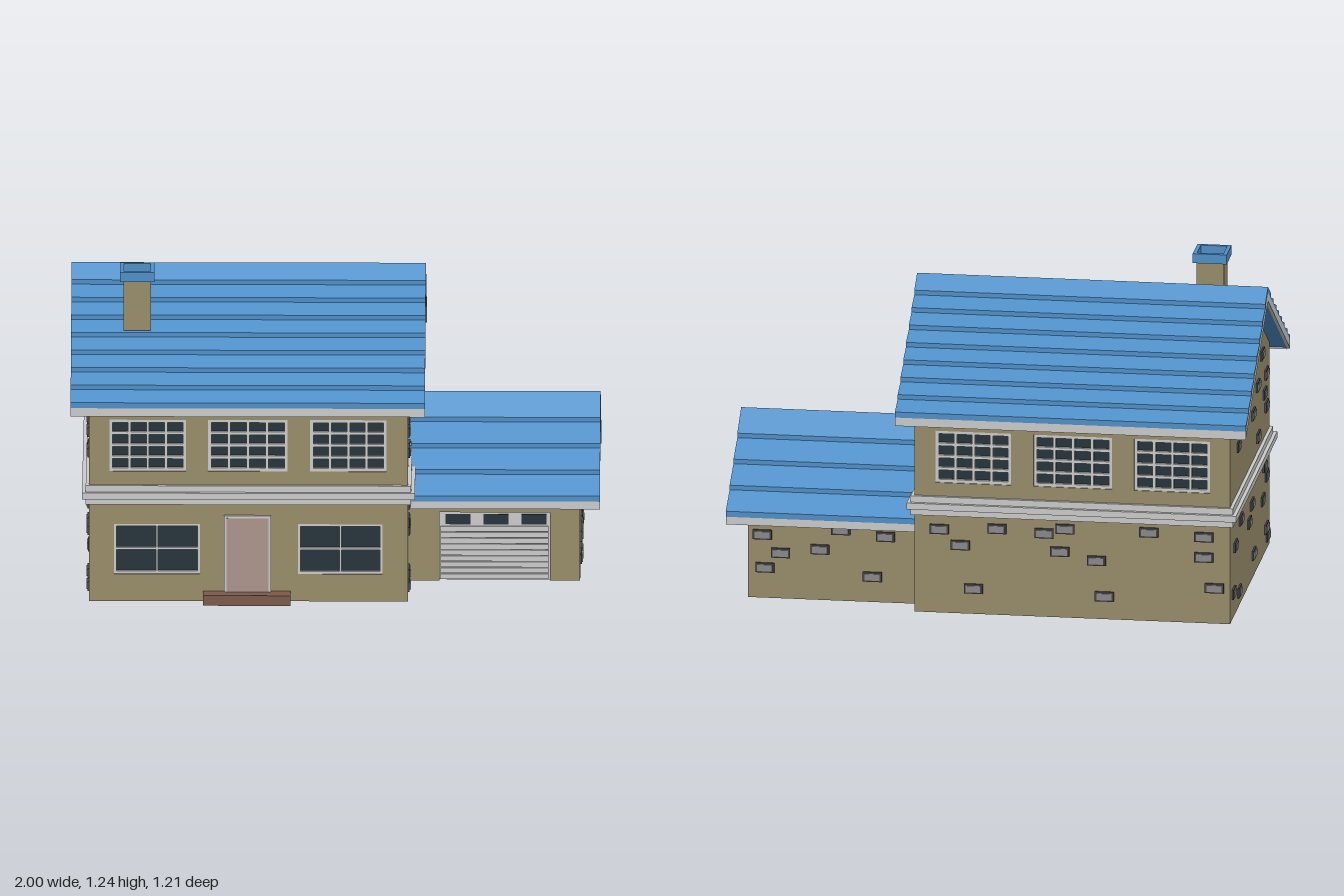
import * as THREE from 'three';

const mat = (color, side = THREE.FrontSide) => new THREE.MeshStandardMaterial({ color, side, flatShading: true });
const M = {
  wall: mat(0x988c69), wallThin: mat(0x988c69, THREE.DoubleSide), roof: mat(0x4f90c8), trim: mat(0xcccccc),
  glass: mat(0x25333a), stone: mat(0x8a8a8c), mortar: mat(0x444446), door: mat(0xab968c), step: mat(0x7b5a4c),
};

function add(parent, name, geo, material, x = 0, y = 0, z = 0) {
  const m = new THREE.Mesh(geo, material);
  m.name = name;
  m.position.set(x, y, z);
  parent.add(m);
  return m;
}

// Box given by its minimum and maximum corners
function block(parent, name, material, x0, x1, y0, y1, z0, z1) {
  return add(parent, name, new THREE.BoxGeometry(x1 - x0, y1 - y0, z1 - z0), material,
    (x0 + x1) / 2, (y0 + y1) / 2, (z0 + z1) / 2);
}

const poly = (pts) => new THREE.Shape(pts.map(([x, y]) => new THREE.Vector2(x, y)));
const rect = (x0, x1, y0, y1) => [[x0, y0], [x1, y0], [x1, y1], [x0, y1]];
const extrude = (shape, depth) => new THREE.ExtrudeGeometry(shape, { depth, bevelEnabled: false });

function holed(outline, holes) {
  const s = poly(outline);
  for (const h of holes) s.holes.push(poly(rect(...h)));
  return s;
}

// Extrude a (distance from ridge, y) profile along x
function alongX(parent, name, shape, material, x0, x1, zc) {
  return add(parent, name, extrude(shape, x1 - x0).rotateY(Math.PI / 2), material, x0, 0, zc);
}

// Pitched roof: core, pale rake and eave boards, overlapping shingle rows
function roof(parent, name, { x0, x1, zc, peak, slope, D, thick, rows }) {
  const g = new THREE.Group();
  g.name = name;
  parent.add(g);
  const low = (d) => peak - slope * Math.abs(d);
  const chevron = (w) => poly([[-w, low(w)], [0, peak], [w, low(w)], [w, low(w) + thick], [0, peak + thick], [-w, low(w) + thick]]);
  alongX(g, 'roofCore', chevron(D - 0.01), M.roof, x0 + 0.012, x1 - 0.012, zc);
  alongX(g, 'rakeBoard', chevron(D), M.trim, x0, x0 + 0.012, zc);
  alongX(g, 'rakeBoard', chevron(D), M.trim, x1 - 0.012, x1, zc);
  for (const s of [-1, 1]) {
    block(g, 'eaveBoard', M.trim, x0 + 0.012, x1 - 0.012, low(D), low(D) + thick, zc + s * (D - 0.006) - 0.006, zc + s * (D - 0.006) + 0.006);
  }
  const side = [];
  for (let i = 0; i < rows; i++) {
    const a = (i * D) / rows, b = ((i + 1) * D) / rows;
    side.push([a, low(a) + thick + (i ? 0.004 : 0.022)], [b, low(b) + thick + 0.022]);
  }
  const left = side.slice(1).reverse().map(([d, y]) => [-d, y]);
  const base = [[D, low(D) + thick], [0, peak + thick], [-D, low(D) + thick]];
  alongX(g, 'shingles', poly([...left, ...side, ...base]), M.roof, x0, x1, zc);
}

// Gabled outline in (distance from ridge, y)
const gable = (half, peak, slope) => [[-half, 0], [half, 0], [half, peak - slope * half], [0, peak], [-half, peak - slope * half]];

// Recessed window whose glazing bars are one pierced sheet
function windowUnit(parent, [x0, x1, y0, y1], z, facing, cols, rows, edge, bar) {
  const g = new THREE.Group();
  g.name = 'window';
  const w = x1 - x0, h = y1 - y0, holes = [];
  const pw = (w - 2 * edge - (cols - 1) * bar) / cols, ph = (h - 2 * edge - (rows - 1) * bar) / rows;
  for (let i = 0; i < cols; i++) for (let j = 0; j < rows; j++) {
    const px = -w / 2 + edge + i * (pw + bar), py = -h / 2 + edge + j * (ph + bar);
    holes.push([px, px + pw, py, py + ph]);
  }
  add(g, 'windowFrame', extrude(holed(rect(-w / 2, w / 2, -h / 2, h / 2), holes), 0.016), M.trim, 0, 0, -0.02);
  add(g, 'windowGlass', new THREE.PlaneGeometry(w, h), M.glass, 0, 0, -0.016);
  g.position.set((x0 + x1) / 2, (y0 + y1) / 2, z);
  if (facing < 0) g.rotation.y = Math.PI;
  parent.add(g);
}

function stone(parent, x, y, z, turn) {
  const g = new THREE.Group();
  g.name = 'wallStone';
  add(g, 'stoneEdge', new THREE.BoxGeometry(0.072, 0.038, 0.014), M.mortar);
  add(g, 'stoneFace', new THREE.BoxGeometry(0.058, 0.026, 0.022), M.stone);
  g.position.set(x, y, z);
  g.rotation.y = turn;
  parent.add(g);
}

export function createModel() {
  const model = new THREE.Group();
  model.name = 'house';

  // Main house walls
  const L = -0.93, R = 0.275, Z = 0.535, T = 0.035;
  const upper = [[-0.853, -0.564, 0.513, 0.717], [-0.48, -0.18, 0.513, 0.717], [-0.094, 0.195, 0.513, 0.717]];
  const lower = [[-0.837, -0.51, 0.107, 0.305], [-0.14, 0.18, 0.107, 0.305]];
  const end = gable(Z, 1.121, 0.61);
  alongX(model, 'houseCore', poly(gable(Z - T, 1.121, 0.61)), M.wall, L + 0.03, R - 0.03, 0);
  alongX(model, 'gableWall', poly(end), M.wall, L, L + 0.03, 0);
  alongX(model, 'gableWall', poly(end), M.wall, R - 0.03, R, 0);
  const face = rect(L + 0.03, R - 0.03, 0, 0.794);
  add(model, 'frontWall', extrude(holed(face, [...upper, ...lower]), T), M.wall, 0, 0, Z - T);
  add(model, 'backWall', extrude(holed(face, upper), T), M.wall, 0, 0, -Z);
  for (const w of upper) for (const s of [1, -1]) windowUnit(model, w, s * Z, s, 4, 4, 0.012, 0.011);
  for (const w of lower) windowUnit(model, w, Z, 1, 2, 2, 0.01, 0.008);

  // Stepped band between the storeys
  [[0.385, 0.013], [0.41, 0.027], [0.435, 0.013]].forEach(([y, o]) =>
    block(model, 'storeyBand', M.trim, L - o, R + o, y, y + 0.025, -Z - o, Z + o));

  // Front door and step
  block(model, 'doorFrame', M.trim, -0.42, -0.243, 0.02, 0.34, 0.52, 0.545);
  block(model, 'frontDoor', M.door, -0.411, -0.252, 0.03, 0.331, 0.52, 0.549);
  block(model, 'doorStep', M.step, -0.5, -0.168, 0, 0.04, 0.52, 0.595);

  roof(model, 'mainRoof', { x0: -1, x1: 0.34, zc: 0, peak: 1.12, slope: 0.61, D: 0.605, thick: 0.033, rows: 8 });

  // Chimney: open shaft with a square collar
  const chimney = new THREE.Group();
  chimney.name = 'chimney';
  chimney.position.set(-0.75, 0, 0.26);
  const r = 0.052 * Math.SQRT2;
  add(chimney, 'shaft', new THREE.CylinderGeometry(r, r, 0.23, 4, 1, true).rotateY(Math.PI / 4), M.wallThin, 0, 1.117, 0);
  add(chimney, 'shaftFloor', new THREE.PlaneGeometry(0.104, 0.104).rotateX(-Math.PI / 2), M.wallThin, 0, 1.003, 0);
  const collar = holed(rect(-0.065, 0.065, -0.065, 0.065), [[-0.05, 0.05, -0.05, 0.05]]);
  add(chimney, 'collar', extrude(collar, 0.037).rotateX(-Math.PI / 2), M.roof, 0, 1.198, 0);
  model.add(chimney);

  // Garage walls
  const GR = 0.925, GZ = -0.085, GH = 0.35, GF = GZ + GH;
  alongX(model, 'garageCore', poly(gable(GH - 0.03, 0.591, 0.68)), M.wall, R, GR - 0.03, GZ);
  // Side slots, measured as distance from the ridge (positive toward the back)
  const slots = [[-0.305, -0.045, 0.208, 0.275], [0.042, 0.305, 0.208, 0.275]];
  alongX(model, 'garageSideWall', holed(gable(GH, 0.591, 0.68), slots), M.wall, GR - 0.03, GR, GZ);
  for (const [a, b, y0, y1] of slots) block(model, 'garageSideWindow', M.glass, GR - 0.04, GR - 0.01, y0, y1, GZ - b, GZ - a);
  const opening = [[R, 0], [0.393, 0], [0.393, 0.27], [0.81, 0.27], [0.81, 0], [GR - 0.03, 0], [GR - 0.03, 0.352], [R, 0.352]];
  add(model, 'garageFrontWall', extrude(poly(opening), 0.03), M.wall, 0, 0, GF - 0.03);
  block(model, 'garageBackWall', M.wall, R, GR - 0.03, 0, 0.352, GZ - GH, GZ - GH + 0.03);

  // Garage door: slats below a row of three panes
  block(model, 'garageDoor', M.trim, 0.393, 0.81, 0, 0.27, GF - 0.04, GF - 0.015);
  for (let i = 0; i < 9; i++) {
    block(model, 'garageDoorSlat', M.trim, 0.397, 0.806, 0.003 + i * 0.0235, 0.0235 * (i + 1), GF - 0.02, GF - 0.009);
  }
  for (let i = 0; i < 3; i++) {
    block(model, 'garageDoorPane', M.glass, 0.415 + i * 0.144, 0.51 + i * 0.144, 0.219, 0.259, GF - 0.03, GF - 0.011);
  }

  roof(model, 'garageRoof', { x0: R, x1: 1, zc: GZ, peak: 0.59, slope: 0.68, D: 0.42, thick: 0.03, rows: 4 });

  // Scattered wall stones, as (z, y) on the gables and (x, y) on the backs
  const high = [[-0.03, 0.98], [0.085, 0.87], [0.04, 0.8], [-0.17, 0.845], [-0.385, 0.82], [0.325, 0.81], [0.44, 0.7],
    [0.395, 0.635], [0.445, 0.57], [0.21, 0.72], [0.085, 0.645], [0.22, 0.515], [-0.27, 0.705], [-0.315, 0.64]];
  const low = [[0.39, 0.35], [0.45, 0.295], [0.34, 0.23], [0.44, 0.09], [0.475, 0.05]];
  const lowLeft = [[0.05, 0.3], [-0.03, 0.25], [-0.25, 0.33], [-0.4, 0.27], [-0.45, 0.1], [-0.3, 0.06], [0.1, 0.09]];
  const garageSide = [[0.185, 0.32], [-0.05, 0.415], [-0.02, 0.375], [-0.095, 0.375], [-0.125, 0.335], [-0.215, 0.44],
    [-0.33, 0.33], [0.025, 0.155], [-0.03, 0.095], [0.02, 0.05], [0.195, 0.075], [-0.275, 0.105], [-0.325, 0.065]];
  const back = [[0.18, 0.33], [0.1, 0.27], [-0.04, 0.34], [-0.22, 0.33], [-0.3, 0.35], [-0.28, 0.26], [-0.42, 0.23],
    [-0.62, 0.35], [-0.83, 0.34], [-0.83, 0.26], [-0.45, 0.09], [0.05, 0.1], [-0.87, 0.14]];
  const garageBack = [[0.87, 0.25], [0.8, 0.18], [0.86, 0.12], [0.65, 0.2], [0.57, 0.28], [0.4, 0.26], [0.45, 0.1]];
  const q = Math.PI / 2;
  for (const [z, y] of [...high, ...low]) stone(model, R, y, z, q);
  for (const [z, y] of [...high, ...low, ...lowLeft]) stone(model, L, y, z, -q);
  for (const [z, y] of garageSide) stone(model, GR, y, z, q);
  for (const [x, y] of back) stone(model, x, y, -Z, Math.PI);
  for (const [x, y] of garageBack) stone(model, x, y, GZ - GH, Math.PI);

  return model;
}
